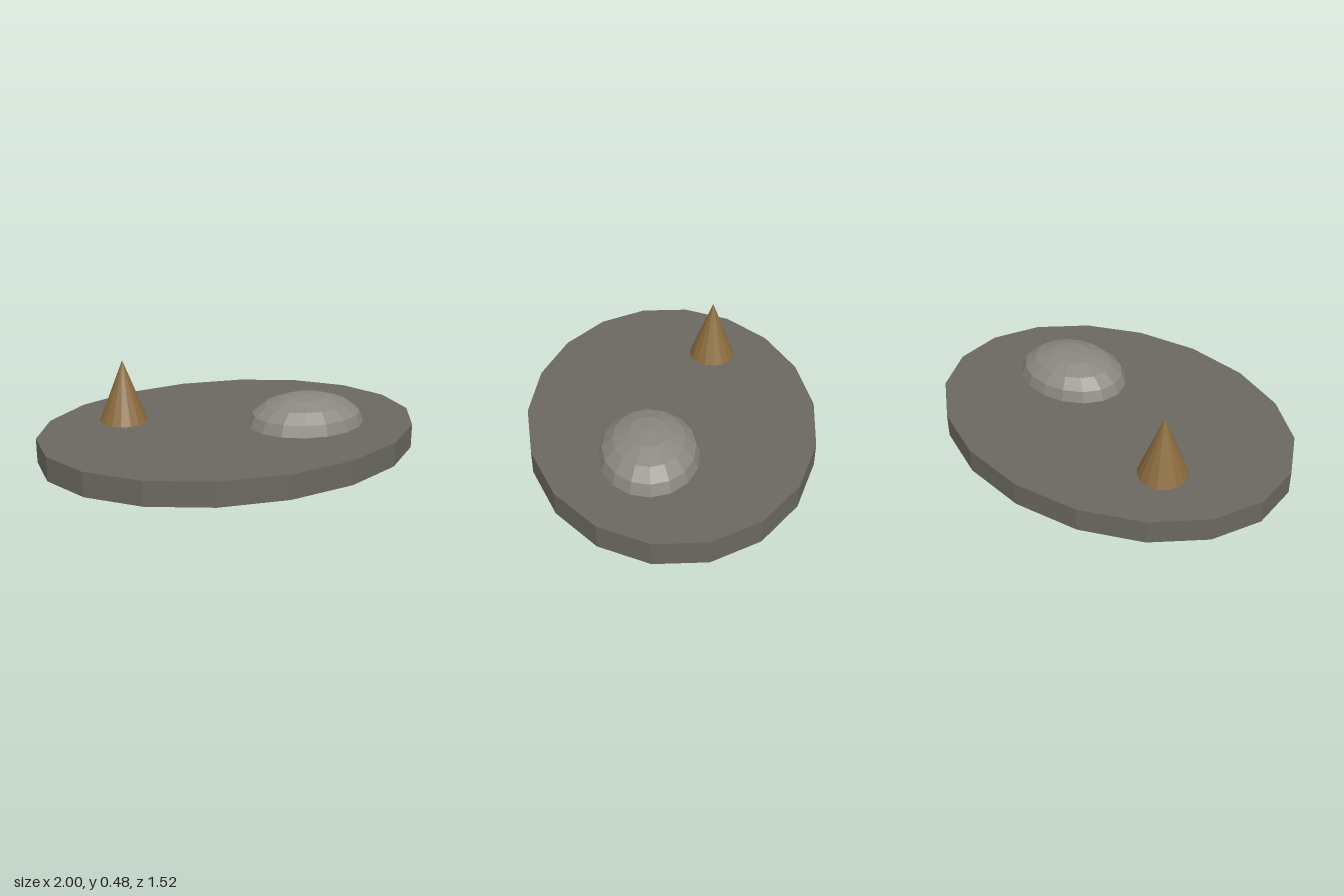
import * as THREE from 'three';

const U = 0.127; // layout unit
const TOP = 0.153; // height of the slab's upper face

function part(name, geometry, color, x, y, z) {
  const material = new THREE.MeshStandardMaterial({ color, flatShading: true });
  const mesh = new THREE.Mesh(geometry, material);
  mesh.name = name;
  mesh.position.set(x, y, z);
  return mesh;
}

export function createModel() {
  const group = new THREE.Group();
  group.name = 'rockPlatform';

  // Oval 18-sided slab
  const slab = new THREE.CylinderGeometry(1, 1, U, 18);
  slab.scale(1.0154, 1, 0.761);
  group.add(part('slab', slab, 0x6b6861, 0, TOP - U / 2, 0));

  // Flattened boulder, half sunk through the slab
  const boulder = new THREE.SphereGeometry(1, 16, 8);
  boulder.scale(2.5 * U, TOP, 2 * U);
  group.add(part('boulder', boulder, 0x8a8780, 3 * U, TOP, U));

  // Pointed spike, its base level with the underside
  const spike = new THREE.ConeGeometry(1.39 * U, 3.58 * U, 16);
  group.add(part('spike', spike, 0x8b6c3e, -4 * U, TOP + 0.8 * U, -2 * U));

  return group;
}
